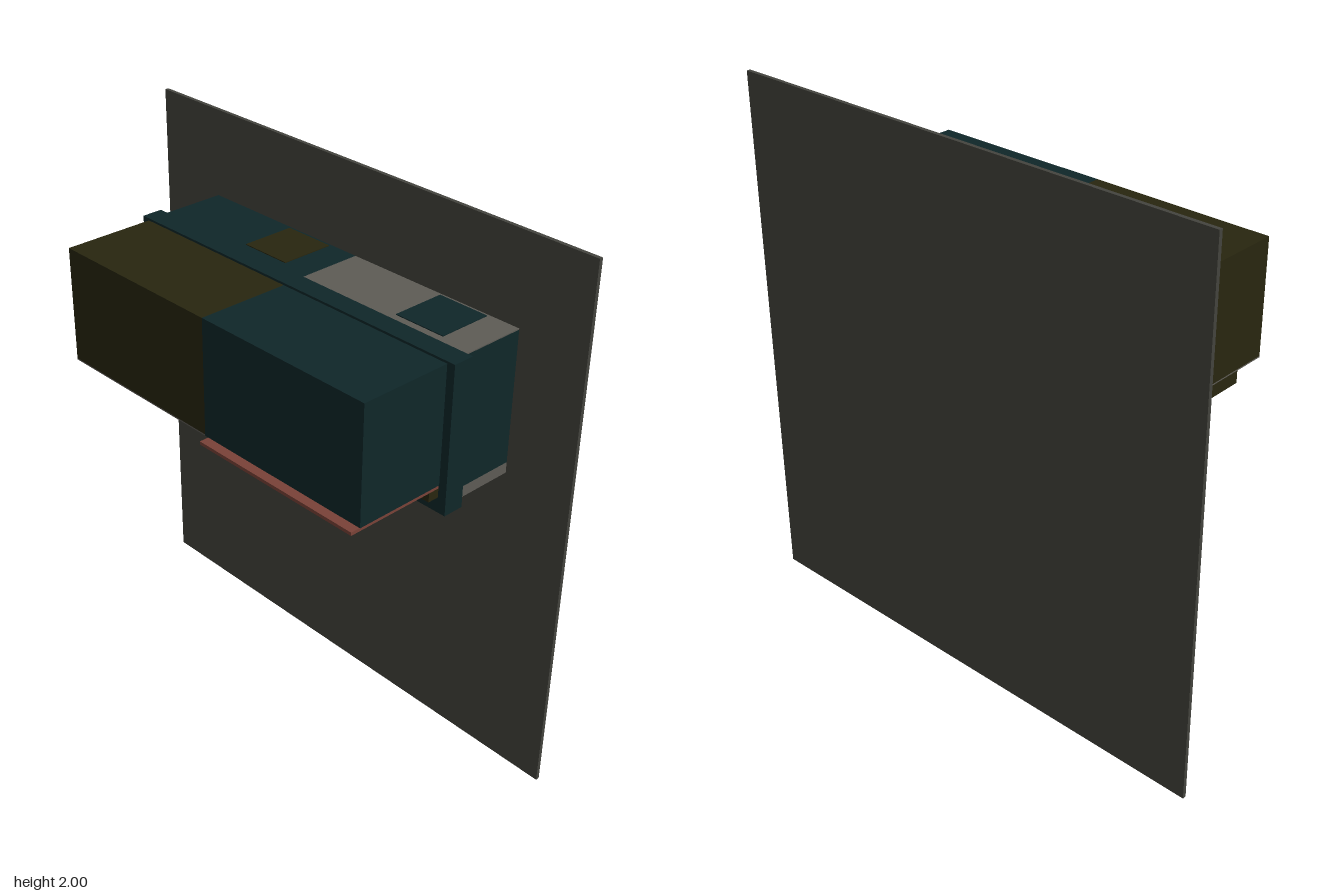
import * as THREE from 'three';

const mat = (name, color) => {
  const m = new THREE.MeshStandardMaterial({ color });
  m.name = name;
  return m;
};

export function createModel() {
  const group = new THREE.Group();
  const wallGrey = mat('wall grey', 0x44443e);
  const teal = mat('dark teal', 0x0f2729);
  const olive = mat('dark olive', 0x28260f);
  const stone = mat('pale stone', 0x5e5b55);
  const salmon = mat('dull salmon', 0x7a4238);
  const red = mat('bright red', 0xb01f2a);

  // Box given by its two extreme corners
  const box = (name, material, x0, x1, y0, y1, z0, z1) => {
    const mesh = new THREE.Mesh(new THREE.BoxGeometry(x1 - x0, y1 - y0, z1 - z0), material);
    mesh.position.set((x0 + x1) / 2, (y0 + y1) / 2, (z0 + z1) / 2);
    mesh.name = name;
    group.add(mesh);
    return mesh;
  };

  // Wall panel
  box('wallPanel', wallGrey, -0.975, 0.975, 0, 2, -0.355, -0.341);

  // Rear housing with its base and top covers
  box('rearHousing', teal, -0.69, 0.715, 1.2, 1.676, -0.341, -0.1);
  box('rearBase', stone, -0.69, 0.715, 1.16, 1.2, -0.341, -0.1);
  box('topCover', stone, 0.01, 0.715, 1.676, 1.68, -0.341, -0.1);
  box('topCover', teal, -0.69, 0.01, 1.676, 1.68, -0.341, -0.1);
  box('topPatch', olive, -0.3, -0.105, 1.678, 1.683, -0.33, -0.13);
  box('topPatch', teal, 0.4, 0.595, 1.678, 1.683, -0.33, -0.13);

  // Collar around the housing
  box('collar', teal, -0.72, 0.742, 1.15, 1.683, -0.1, -0.022);

  // Two front boxes
  box('oliveBox', olive, -0.69, 0.005, 1.255, 1.675, -0.022, 0.32);
  box('tealBox', teal, 0.005, 0.712, 1.25, 1.675, -0.022, 0.32);
  box('oliveBoxTrim', stone, -0.69, 0.005, 1.25, 1.255, -0.022, 0.32);

  // Patterned strips below the boxes, and the projecting tray
  box('patternStrip', olive, -0.69, 0.005, 1.205, 1.25, -0.022, 0.2);
  box('patternStrip', olive, 0.02, 0.71, 1.205, 1.238, -0.022, 0.02);
  box('tray', salmon, 0.02, 0.71, 1.238, 1.25, -0.022, 0.355);

  // Small painted petals on the strips
  const petal = new THREE.Shape();
  petal.moveTo(0, -0.016);
  petal.quadraticCurveTo(0.036, 0.002, 0.02, 0.015);
  petal.lineTo(0, 0.007);
  petal.lineTo(-0.02, 0.015);
  petal.quadraticCurveTo(-0.036, 0.002, 0, -0.016);
  const petalGeo = new THREE.ShapeGeometry(petal, 4);
  for (let i = 0; i < 12; i++) {
    const right = i >= 6;
    const k = i % 6;
    const mesh = new THREE.Mesh(petalGeo, red);
    mesh.name = 'petal';
    mesh.position.set((right ? 0.08 : -0.64) + k * 0.115, right ? 1.221 : 1.227, right ? 0.022 : 0.202);
    mesh.scale.x = k % 2 ? 0.85 : 1.15;
    group.add(mesh);
  }

  // Painted spots under the strip and tray
  const spotGeo = new THREE.CircleGeometry(0.035, 16);
  const spot = (material, x, y, z, wide) => {
    const mesh = new THREE.Mesh(spotGeo, material);
    mesh.name = 'spot';
    mesh.rotation.x = Math.PI / 2;
    mesh.scale.set(wide, 0.8, 1);
    mesh.position.set(x, y, z);
    group.add(mesh);
  };
  for (let i = 0; i < 5; i++) {
    for (let j = 0; j < 3; j++) {
      spot(olive, 0.09 + i * 0.135, 1.236, 0.07 + j * 0.115, (i + j) % 2 ? 0.7 : 1.2);
      if (j < 2) spot(red, -0.62 + i * 0.135, 1.203, 0.04 + j * 0.1, (i + j) % 2 ? 0.7 : 1.2);
    }
  }
  return group;
}
